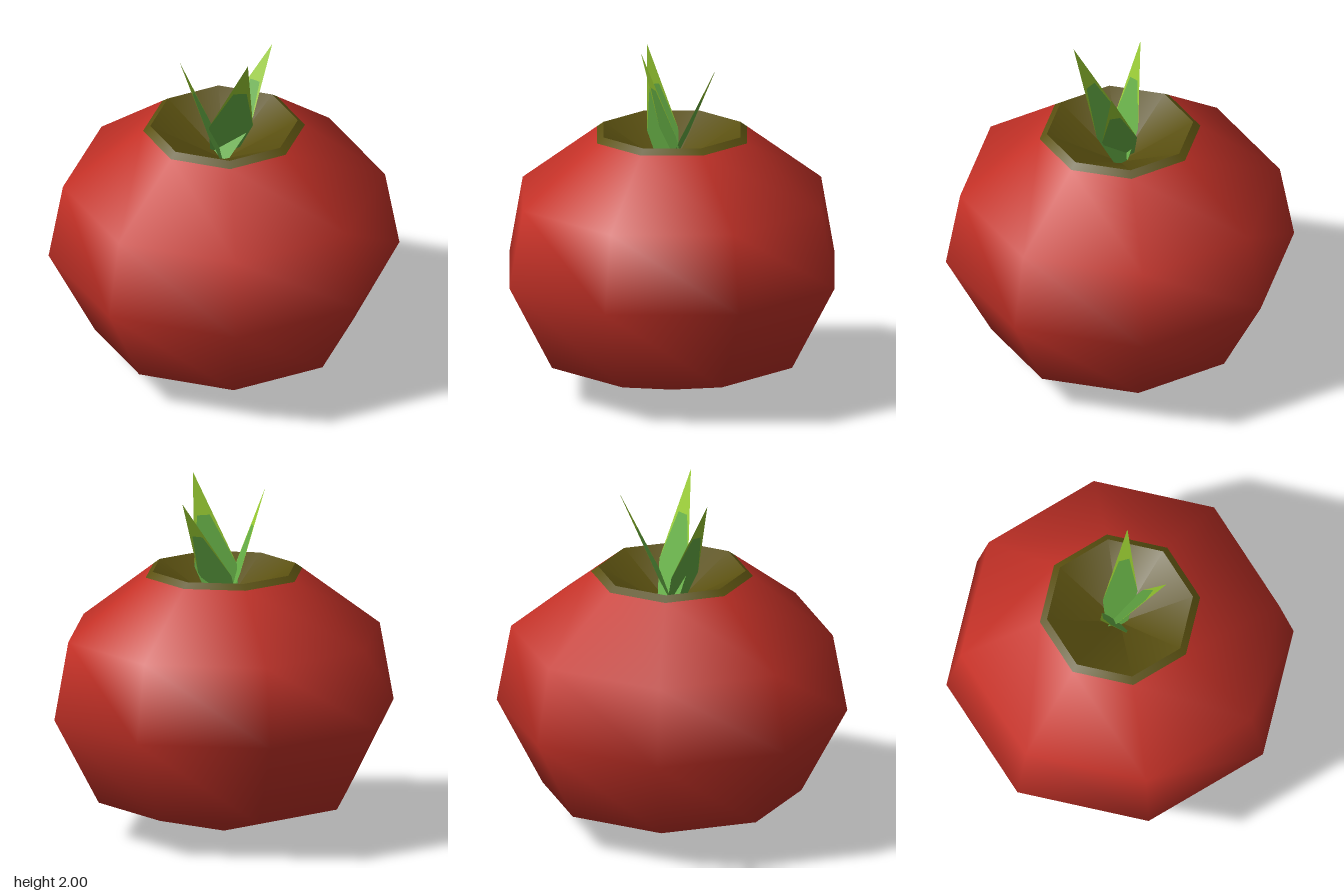
import * as THREE from 'three';

export function createModel() {
  const model = new THREE.Group();
  const red = new THREE.MeshStandardMaterial({ name: 'red skin', color: 0xc43127 });
  const olive = new THREE.MeshStandardMaterial({ name: 'olive crown', color: 0x5a5010, side: THREE.DoubleSide });
  const green = new THREE.MeshStandardMaterial({ name: 'leaf green', color: 0x67b046, side: THREE.DoubleSide });
  const lime = new THREE.MeshStandardMaterial({ name: 'leaf lime', color: 0x9acd32, side: THREE.DoubleSide });

  const add = (name, geometry, material, parent = model) => {
    const mesh = new THREE.Mesh(geometry, material);
    mesh.name = name;
    parent.add(mesh);
  };
  const lathe = (points) =>
    new THREE.LatheGeometry(points.map(([r, y]) => new THREE.Vector2(r, y)), 8);

  // Eight-sided fruit, smooth shaded
  add('fruitBody', lathe([[0, 0], [0.72, 0.205], [0.975, 0.69], [0.895, 1.13], [0.45, 1.47]]), red);

  // Crown: a narrow sloping rim and the hollow the leaves grow from
  add('crownRim', lathe([[0.45, 1.47], [0.41, 1.5]]), olive);
  add('crownHollow', lathe([[0.41, 1.5], [0, 1.27]]), olive);

  // Flat pointed leaf: green heart, lime edges and tip
  const faces = (points, index) => {
    const g = new THREE.BufferGeometry().setFromPoints(points);
    g.setIndex(index);
    g.computeVertexNormals();
    return g;
  };
  const addLeaf = (name, base, tip, side, halfWidth) => {
    const b = new THREE.Vector3(...base), t = new THREE.Vector3(...tip);
    const s = new THREE.Vector3(...side).normalize().multiplyScalar(halfWidth);
    const at = (along, across) => b.clone().lerp(t, along).addScaledVector(s, across);
    const leaf = new THREE.Group();
    leaf.name = name;
    const heart = [at(0, -0.6), at(0, 0.6), at(0.31, -1), at(0.31, 1), at(0.68, -0.3), at(0.68, 0.3)];
    add('leafHeart', faces(heart, [0, 1, 3, 0, 3, 2, 2, 3, 5, 2, 5, 4]), green, leaf);
    const edge = [heart[2], heart[4], heart[5], heart[3], t];
    add('leafTip', faces(edge, [0, 1, 4, 1, 2, 4, 2, 3, 4]), lime, leaf);
    model.add(leaf);
  };
  addLeaf('frontLeaf', [0, 1.28, -0.045], [0.115, 2, 0.235], [1, 0, 0], 0.122);
  addLeaf('rightLeaf', [-0.01, 1.28, 0.01], [-0.25, 1.93, 0.045], [0.1, 0, -1], 0.09);
  addLeaf('backLeaf', [-0.03, 1.28, 0], [0.28, 1.91, -0.15], [-1, 0, -0.8], 0.1);

  return model;
}
